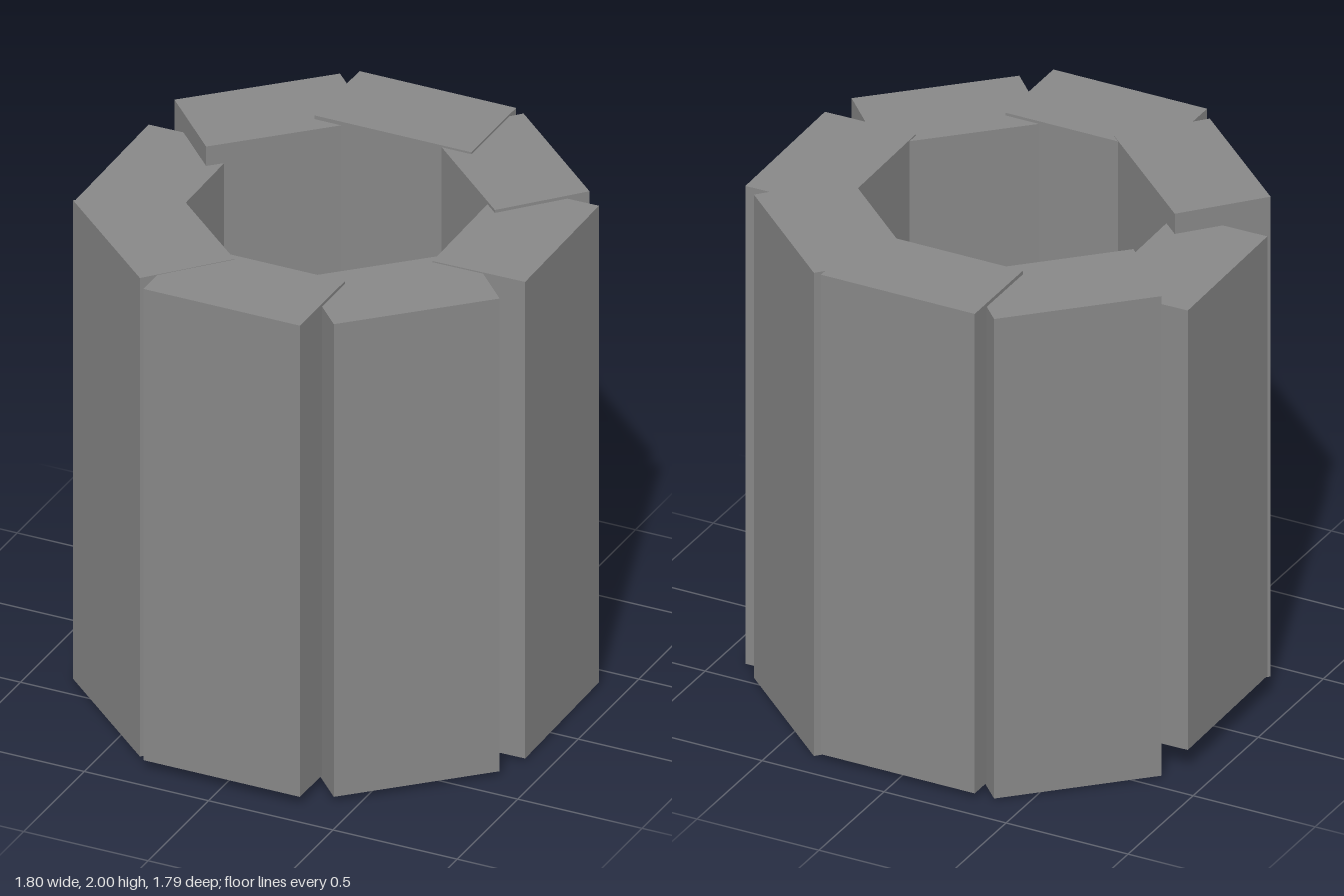
import * as THREE from 'three';

// Ring of eight upright slabs: name, centre x, centre z, turn about y, bottom, top
const SLABS = [
  ['frontSlab', 0, 0.707, 0, 0.04, 1.986],
  ['frontLeftSlab', 0.511, 0.459, 0.763, 0.023, 1.975],
  ['leftSlab', 0.709, -0.081, -1.555, 0.012, 1.98],
  ['backLeftSlab', 0.4625, -0.5335, -0.729, 0.002, 1.992],
  ['backSlab', 0, -0.709, 0, 0.025, 2],
  ['backRightSlab', -0.48, -0.519, 0.768, 0.01, 1.985],
  ['rightSlab', -0.711, -0.043, -1.555, 0.095, 1.905],
  ['frontRightSlab', -0.4735, 0.4805, -0.724, 0.012, 1.988],
];
const WIDTH = 0.63;
const THICKNESS = 0.37;

export function createModel() {
  const model = new THREE.Group();
  model.name = 'slabRing';
  const material = new THREE.MeshStandardMaterial({ color: 0x888888, flatShading: true });

  for (const [name, x, z, turn, bottom, top] of SLABS) {
    const slab = new THREE.Mesh(new THREE.BoxGeometry(WIDTH, top - bottom, THICKNESS), material);
    slab.name = name;
    slab.position.set(x, (bottom + top) / 2, z);
    slab.rotation.y = turn;
    model.add(slab);
  }
  return model;
}
